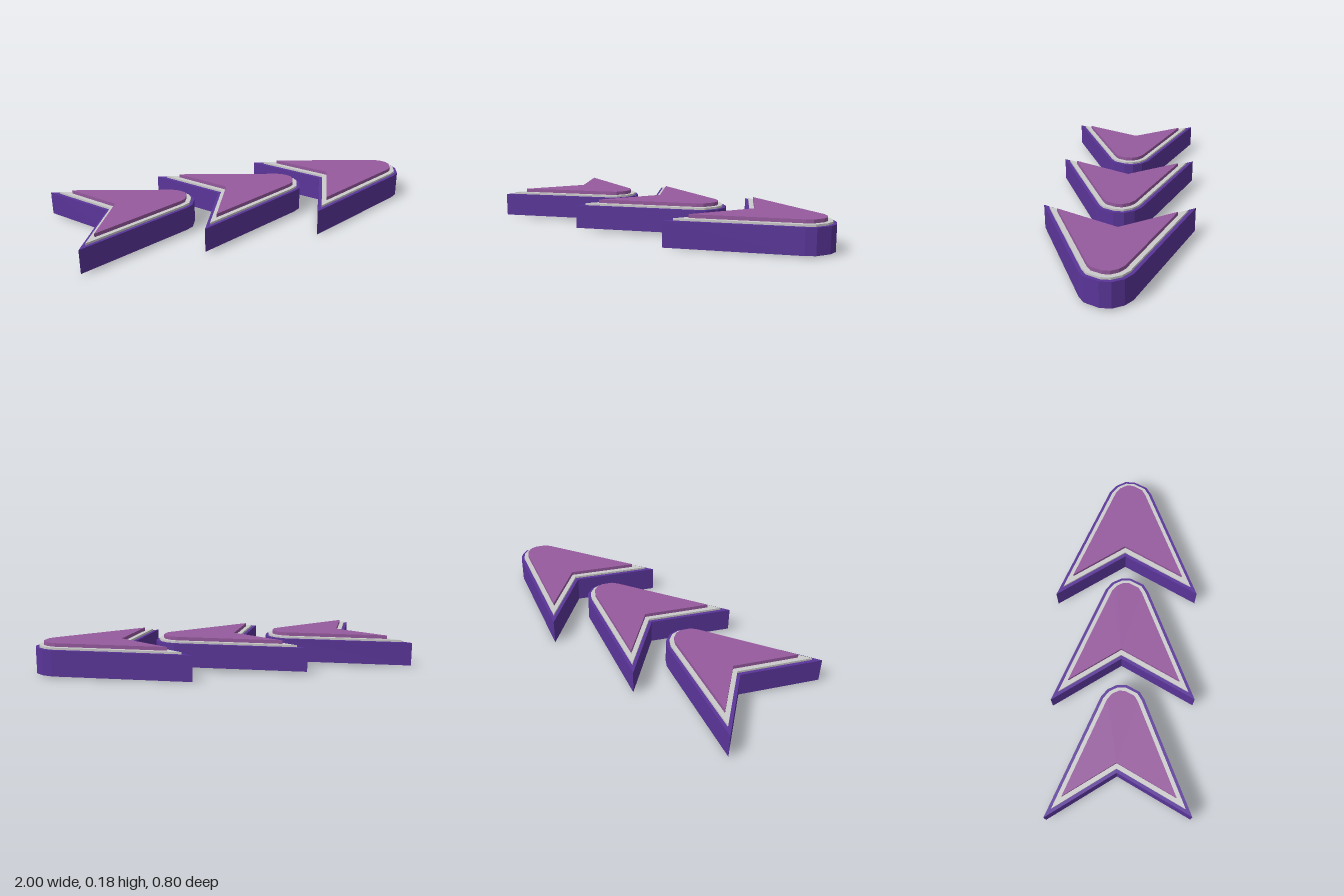
import * as THREE from 'three';

// Arrowhead outline as [x, z], from the back tip round the nose to the notch
const OUTLINE = [
  [0.24, -0.4], [0.925, -0.135], [0.97, -0.1], [1.0, -0.045], [1.0, 0.01],
  [0.965, 0.085], [0.92, 0.115], [0.285, 0.4], [0.5, -0.02],
];
const SLOPE = 0.011; // each arrow rises slightly towards its nose

// Moves every edge of the outline inwards by d, with mitred corners
function inset(points, d) {
  const n = points.length;
  return points.map((p, i) => {
    const a = points[(i + n - 1) % n], b = points[(i + 1) % n];
    const l1 = Math.hypot(p[0] - a[0], p[1] - a[1]), l2 = Math.hypot(b[0] - p[0], b[1] - p[1]);
    const n1 = [-(p[1] - a[1]) / l1, (p[0] - a[0]) / l1];
    const n2 = [-(b[1] - p[1]) / l2, (b[0] - p[0]) / l2];
    const k = d / (1 + n1[0] * n2[0] + n1[1] * n2[1]);
    return [p[0] + (n1[0] + n2[0]) * k, p[1] + (n1[1] + n2[1]) * k];
  });
}

// Flat slab over an outline between two heights, sheared along x
function slab(name, points, y0, y1, material) {
  const shape = new THREE.Shape(points.map(([x, z]) => new THREE.Vector2(x, -z)));
  const geo = new THREE.ExtrudeGeometry(shape, { depth: y1 - y0, bevelEnabled: false });
  geo.rotateX(-Math.PI / 2);
  const pos = geo.attributes.position;
  for (let i = 0; i < pos.count; i++) {
    pos.setY(i, pos.getY(i) + y0 + SLOPE * (pos.getX(i) - 0.24));
  }
  geo.computeVertexNormals();
  const mesh = new THREE.Mesh(geo, material);
  mesh.name = name;
  return mesh;
}

export function createModel() {
  const model = new THREE.Group();
  model.name = 'arrowRow';
  const body = new THREE.MeshStandardMaterial({ color: 0x5a3599, flatShading: true });
  const trim = new THREE.MeshStandardMaterial({ color: 0xcccccc, flatShading: true });
  const panel = new THREE.MeshStandardMaterial({ color: 0x965a9e, flatShading: true });

  // Arrows grow a little from the back one to the front one
  const arrows = [
    { name: 'backArrow', nose: -0.28, scale: 0.947, bottom: 0.008, top: 0.135 },
    { name: 'middleArrow', nose: 0.355, scale: 0.97, bottom: 0.012, top: 0.139 },
    { name: 'frontArrow', nose: 1, scale: 1, bottom: 0, top: 0.137 },
  ];
  for (const { name, nose, scale, bottom, top } of arrows) {
    const arrow = new THREE.Group();
    arrow.name = name;
    arrow.add(
      slab('arrowBody', OUTLINE, bottom, top, body),
      slab('arrowTrim', inset(OUTLINE, 0.018), top, top + 0.011, trim),
      slab('arrowPanel', inset(OUTLINE, 0.043), top + 0.011, top + 0.03, panel),
    );
    arrow.scale.set(scale, 1, scale);
    arrow.position.set(nose - scale, 0, 0.397 * (1 - scale));
    model.add(arrow);
  }
  return model;
}
